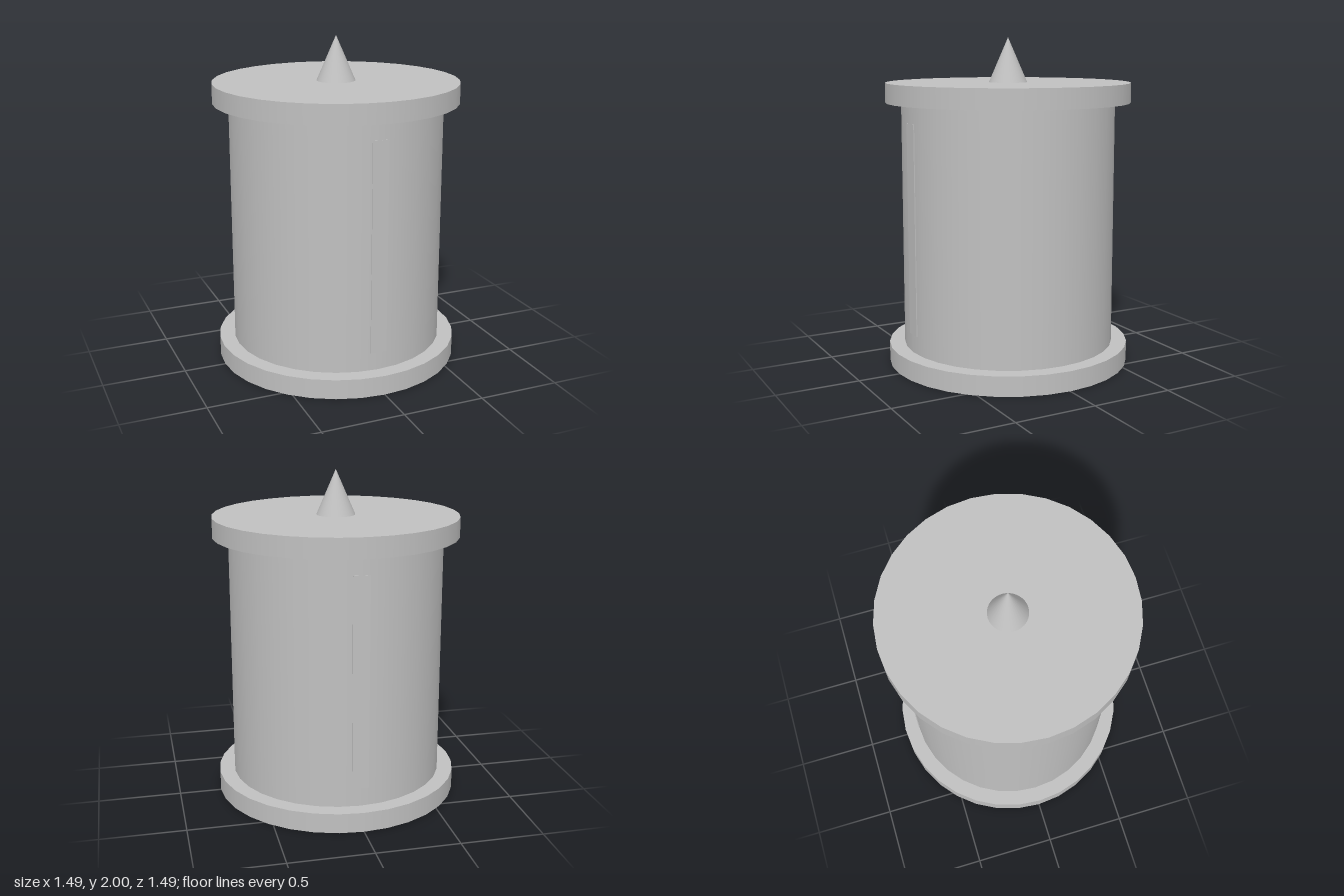
import * as THREE from 'three';

export function createModel() {
  const model = new THREE.Group();
  model.name = 'spikedDrum';
  const grey = new THREE.MeshStandardMaterial({ color: 0xc0c0c0 });
  grey.name = 'plainGrey';

  const add = (name, geometry, y, z = 0) => {
    const mesh = new THREE.Mesh(geometry, grey);
    mesh.name = name;
    mesh.position.set(0, y, z);
    model.add(mesh);
  };
  const disc = (radius, height) => new THREE.CylinderGeometry(radius, radius, height, 32);

  // Base plate, drum and lid
  add('basePlate', disc(0.745, 0.12), 0.06);
  add('drumBody', disc(0.65, 1.49), 0.865);
  add('lid', disc(0.745, 0.12), 1.67);

  // Pointed finial on the lid
  add('finial', new THREE.ConeGeometry(0.117, 0.27, 32), 1.865);

  // Narrow strips, almost flush with the drum, at front and back
  for (const side of [1, -1]) {
    add(side > 0 ? 'frontStrip' : 'backStrip', new THREE.BoxGeometry(0.1, 1.27, 0.02), 0.865, side * 0.641);
  }
  return model;
}
